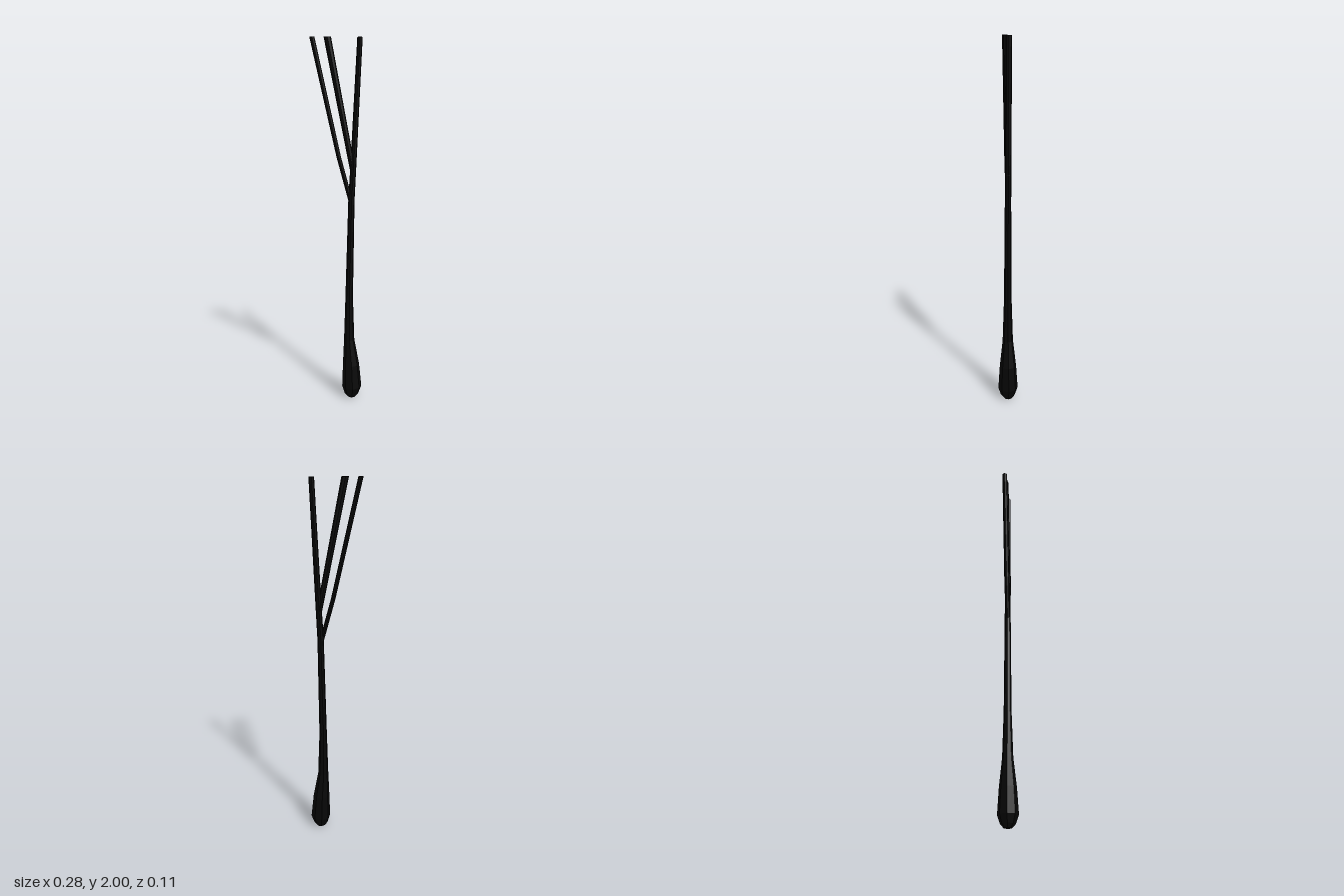
import * as THREE from 'three';

const SIDES = 8;
const material = new THREE.MeshStandardMaterial({ color: 0x060606, flatShading: true });

// Capped octagonal limb through level rings given as [x, y, radius across x, radius across z]
function limb(name, rings) {
  const positions = [], index = [];
  for (const [x, y, rx, rz] of rings) {
    for (let i = 0; i < SIDES; i++) {
      const a = (i / SIDES) * Math.PI * 2;
      positions.push(x + rx * Math.cos(a), y, rz * Math.sin(a));
    }
  }
  for (let r = 0; r < rings.length - 1; r++) {
    for (let i = 0; i < SIDES; i++) {
      const a = r * SIDES + i, b = r * SIDES + (i + 1) % SIDES;
      index.push(a, a + SIDES, b, b, a + SIDES, b + SIDES);
    }
  }
  // end caps
  const top = (rings.length - 1) * SIDES;
  for (let i = 1; i < SIDES - 1; i++) {
    index.push(0, i, i + 1, top, top + i + 1, top + i);
  }
  const geometry = new THREE.BufferGeometry();
  geometry.setAttribute('position', new THREE.Float32BufferAttribute(positions, 3));
  geometry.setIndex(index);
  geometry.computeVertexNormals();
  const mesh = new THREE.Mesh(geometry, material);
  mesh.name = name;
  return mesh;
}

export function createModel() {
  const group = new THREE.Group();
  group.name = 'branchingStem';

  // Stem with a swollen, rounded foot
  group.add(limb('stem', [
    [0.084, 0, 0.022, 0.022],
    [0.084, 0.02, 0.04, 0.04],
    [0.085, 0.065, 0.055, 0.055],
    [0.08, 0.2, 0.046, 0.046],
    [0.069, 0.35, 0.029, 0.029],
    [0.068, 0.6, 0.021, 0.021],
    [0.078, 1.15, 0.017, 0.017],
    [0.088, 1.35, 0.016, 0.017],
    [0.118, 2, 0.014, 0.016],
  ]));

  // Two branches leaning to the right
  group.add(limb('lowerBranch', [
    [0.075, 1.14, 0.012, 0.012],
    [0.01, 1.38, 0.012, 0.014],
    [-0.129, 2, 0.013, 0.014],
  ]));
  group.add(limb('upperBranch', [
    [0.087, 1.3, 0.015, 0.016],
    [-0.05, 2, 0.019, 0.016],
  ]));
  return group;
}
